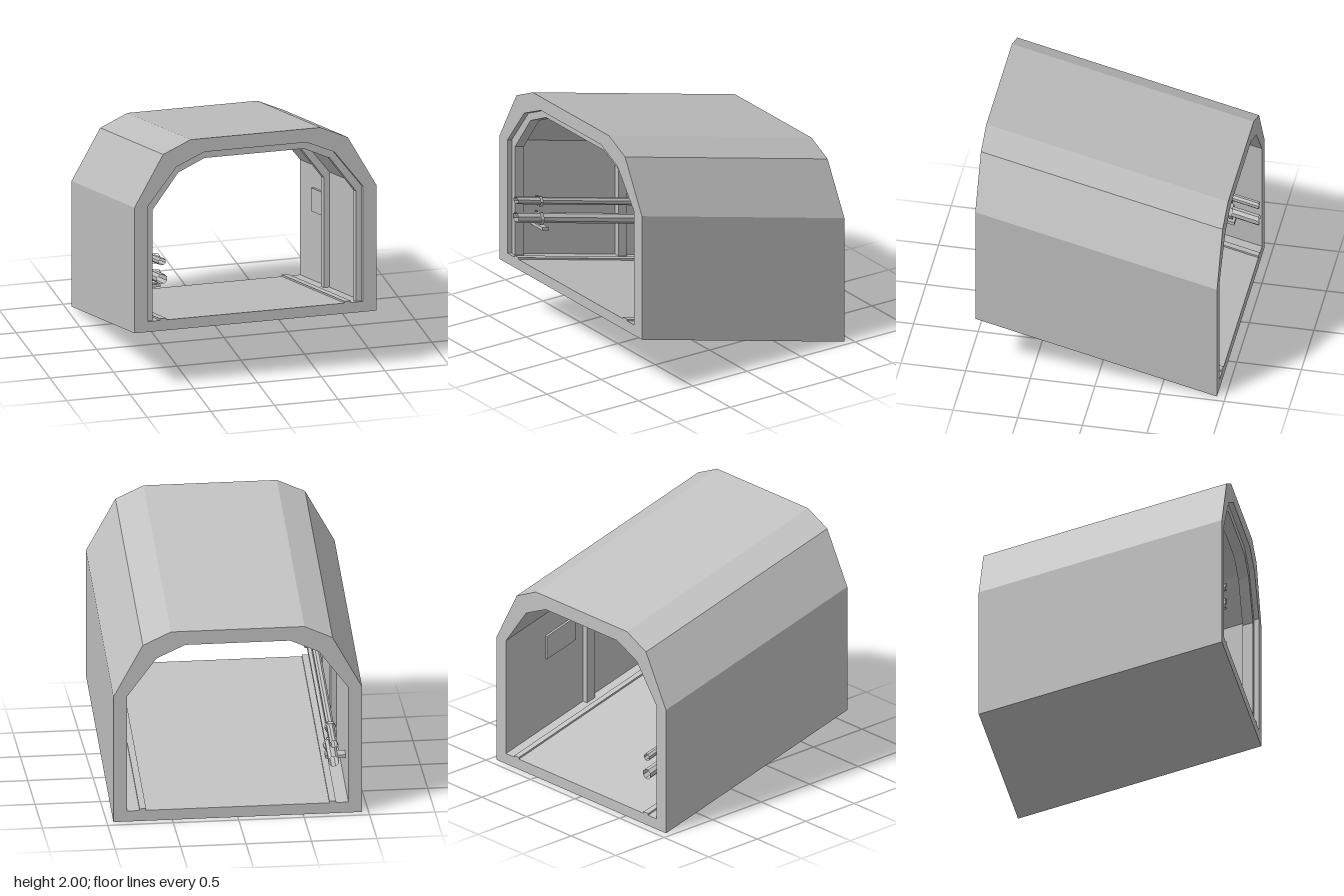
import * as THREE from 'three';

const HALF = 0.935;          // half length along z
const SLOPE = 0.47 / 1.87;   // the whole tunnel climbs towards the front

// Shears level geometry onto the slope and gives it flat normals
function slope(geometry) {
  const g = geometry.index ? geometry.toNonIndexed() : geometry;
  const p = g.attributes.position;
  for (let i = 0; i < p.count; i++) p.setY(i, p.getY(i) + SLOPE * (p.getZ(i) + HALF));
  g.computeVertexNormals();
  return g;
}

// Mirrors a half profile (bottom to top, +x side) into a closed outline
const outline = (half) => [...half, ...half.slice().reverse().map(([x, y]) => [-x, y])]
  .map(([x, y]) => new THREE.Vector2(x, y));

// Ring-shaped section between two outlines, from z0 to z1
function ringSection(outer, inner, z0, z1) {
  const shape = new THREE.Shape(outline(outer));
  shape.holes.push(new THREE.Path(outline(inner)));
  return new THREE.ExtrudeGeometry(shape, { depth: z1 - z0, bevelEnabled: false }).translate(0, 0, z0);
}

export function createModel() {
  const model = new THREE.Group();
  const concrete = new THREE.MeshStandardMaterial({ color: 0xc0c0c0, side: THREE.DoubleSide });
  concrete.name = 'concrete grey';

  const add = (name, geometry, parent = model) => {
    const mesh = new THREE.Mesh(slope(geometry), concrete);
    mesh.name = name;
    parent.add(mesh);
  };
  const box = (name, x0, x1, y0, y1, z0, z1, parent) => add(name,
    new THREE.BoxGeometry(x1 - x0, y1 - y0, z1 - z0)
      .translate((x0 + x1) / 2, (y0 + y1) / 2, (z0 + z1) / 2), parent);
  const tube = (name, r, sides, x, y, z, length, parent) => add(name,
    new THREE.CylinderGeometry(r, r, length, sides, 1, true)
      .rotateY(Math.PI / sides).rotateX(Math.PI / 2).translate(x, y, z), parent);

  // Tunnel shell
  const outer = [[0.95, 0], [0.95, 1.02], [0.725, 1.43], [0.51, 1.53]];
  const inner = [[0.845, 0.085], [0.845, 1.02], [0.62, 1.32], [0.4, 1.42]];
  add('tunnelShell', ringSection(outer, inner, -HALF, HALF));

  // Arched ribs, open at the floor
  const ribInner = [[0.8, 0.085], [0.8, 0.98], [0.595, 1.268], [0.39, 1.365]];
  const ribShape = new THREE.Shape([
    ...outline(inner), ...outline(ribInner).reverse(),
  ]);
  for (const z of [0.815, -0.14]) {
    add('archRib', new THREE.ExtrudeGeometry(ribShape, { depth: 0.08, bevelEnabled: false }).translate(0, 0, z));
  }

  // Low strips along both sides of the floor
  for (const x of [-0.725, 0.725]) box('floorStrip', x - 0.025, x + 0.025, 0.08, 0.099, -HALF, HALF);

  // Pipes on the right-hand wall with collars and brackets
  const pipes = new THREE.Group();
  pipes.name = 'wallPipes';
  model.add(pipes);
  const px = -0.733;
  for (const [y, r, collar] of [[0.42, 0.042, 0.059], [0.56, 0.03, 0.046]]) {
    tube('pipe', r, 8, px, y, 0, HALF * 2, pipes);
    for (const z of [-0.72, 0.72]) tube('pipeCollar', collar, 6, px, y, z, 0.03, pipes);
  }
  for (const z of [-0.72, 0.69]) {
    box('pipeBracket', -0.85, -0.69, 0.327, 0.353, z - 0.03, z + 0.03, pipes);
  }

  // Ceiling unit with slats underneath
  const unit = new THREE.Group();
  unit.name = 'ceilingUnit';
  model.add(unit);
  box('unitBody', 0.165, 0.29, 1.355, 1.425, -0.06, 0.5, unit);
  for (let i = 0; i < 4; i++) {
    const z = 0.42 - i * 0.14;
    box('unitSlat', 0.18, 0.275, 1.343, 1.357, z - 0.02, z + 0.02, unit);
  }

  // Flat panel on the left-hand wall
  box('wallPanel', 0.825, 0.85, 0.65, 0.84, -0.53, -0.23);

  return model;
}
